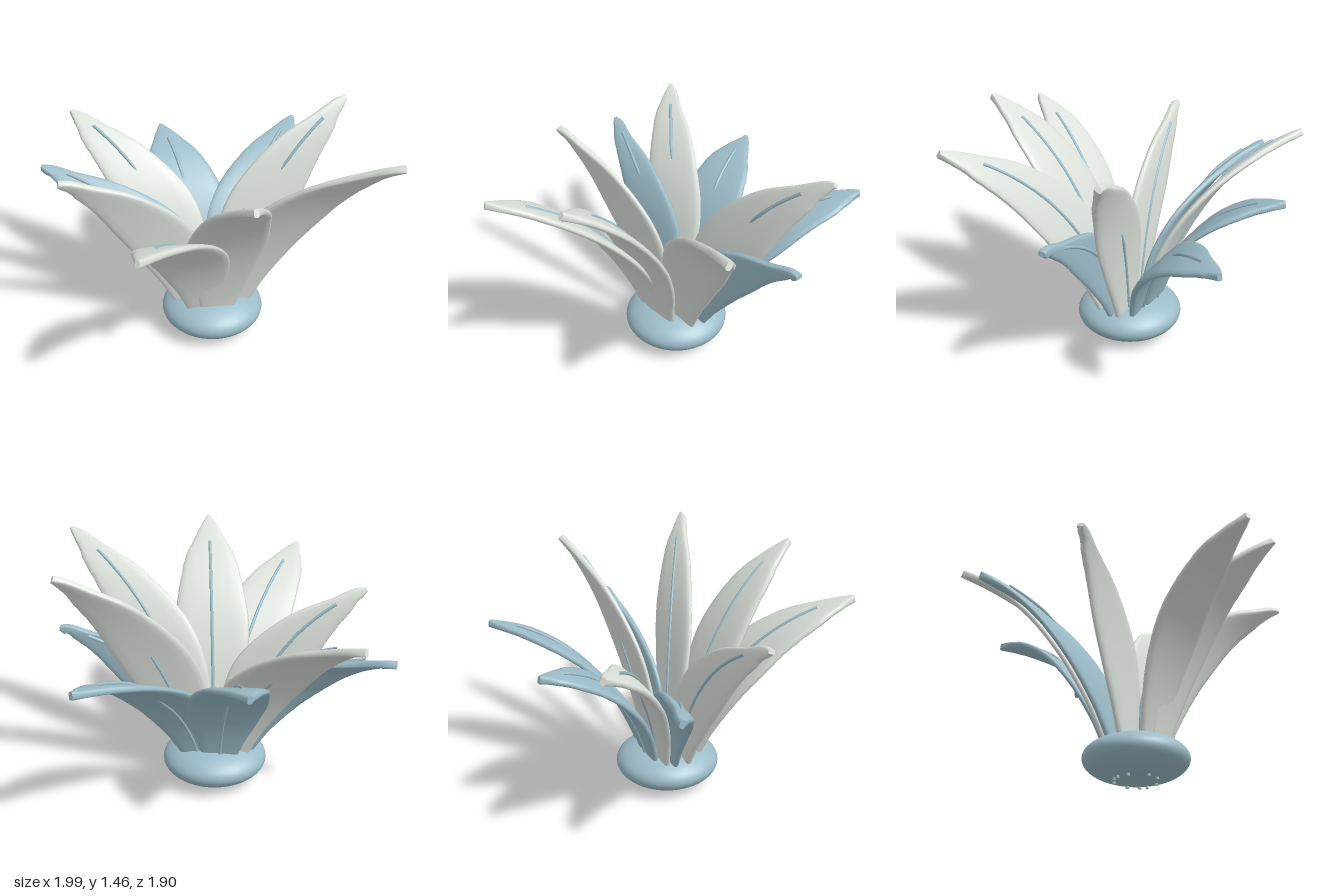
import * as THREE from 'three';

const pale = new THREE.MeshStandardMaterial({ color: 0xdce1db });
pale.name = 'paleGrey';
const blue = new THREE.MeshStandardMaterial({ color: 0x9cbcc8 });
blue.name = 'dustyBlue';

const CX = 0.035, CZ = -0.05; // centre of the bulb
const { smoothstep } = THREE.MathUtils;

// Half width of a leaf along its length
const widthTable = new THREE.SplineCurve([
  [0, 0.1], [0.15, 0.155], [0.3, 0.208], [0.5, 0.236], [0.75, 0.175], [0.88, 0.1], [0.96, 0.045], [1, 0.014],
].map(([t, w]) => new THREE.Vector2(t, w))).getPoints(140);
function leafWidth(t) {
  const i = widthTable.findIndex((p) => p.x >= t - 1e-6);
  return widthTable[i < 0 ? widthTable.length - 1 : i].y;
}

// Face direction of a leaf: square to both its path and the x axis
function faceNormal(tangent) {
  return new THREE.Vector3(0, -tangent.z, tangent.y).normalize();
}

// Sweeps a rounded slab along a path; every leaf spreads level along x
function bladeGeometry(path, halfThick = 0.023, rings = 48, sides = 16) {
  const pos = [], index = [];
  const bend = (c) => Math.sign(c) * Math.abs(c) ** 0.6;
  for (let i = 0; i <= rings; i++) {
    const t = i / rings;
    const p = path.getPointAt(t), tangent = path.getTangentAt(t);
    const n = faceNormal(tangent);
    // The tip turns square to the path so it ends blunt
    const w = new THREE.Vector3(1, 0, 0)
      .lerp(new THREE.Vector3().crossVectors(tangent, n), smoothstep(t, 0.9, 1));
    for (let j = 0; j < sides; j++) {
      const a = j / sides * Math.PI * 2;
      const v = p.clone()
        .addScaledVector(w, leafWidth(t) * bend(Math.cos(a)))
        .addScaledVector(n, halfThick * bend(Math.sin(a)));
      pos.push(v.x, v.y, v.z);
    }
  }
  for (let i = 0; i < rings; i++) {
    for (let j = 0; j < sides; j++) {
      const k = (j + 1) % sides;
      const a = i * sides + j, b = i * sides + k, c = a + sides, d = b + sides;
      index.push(a, c, b, b, c, d);
    }
  }
  // End caps with their own vertices, so their rims stay sharp
  for (const [ring, flip] of [[0, false], [rings, true]]) {
    const s = pos.length / 3;
    pos.push(...pos.slice(ring * sides * 3, (ring + 1) * sides * 3));
    for (let j = 1; j < sides - 1; j++) {
      index.push(s, s + (flip ? j + 1 : j), s + (flip ? j : j + 1));
    }
  }
  const g = new THREE.BufferGeometry();
  g.setAttribute('position', new THREE.Float32BufferAttribute(pos, 3));
  g.setIndex(index);
  g.computeVertexNormals();
  return g;
}

// Thin rod on the inner face of front leaves, crossing through the back ones
function midribGeometry(path, back) {
  const points = [], end = back ? 0.87 : 0.85;
  for (let i = 0; i <= 24; i++) {
    const t = 0.02 + (end - 0.02) * i / 24;
    const offset = back ? -0.022 + 0.05 * smoothstep(t, 0.42, 0.7) : -0.022;
    points.push(path.getPointAt(t).addScaledVector(faceNormal(path.getTangentAt(t)), offset));
  }
  return new THREE.TubeGeometry(new THREE.CatmullRomCurve3(points), 40, 0.01, 8);
}

function addMesh(parent, name, geometry, material) {
  const m = new THREE.Mesh(geometry, material);
  m.name = name;
  parent.add(m);
  return m;
}

// Leaf tips (x, y, z) and colour
const leaves = [
  [-0.195, 1.0, -0.94, blue], [0.72, 1.0, -0.94, blue],
  [0.965, 1.0, -0.05, blue], [-0.99, 1.0, -0.485, blue],
  [-0.78, 1.215, -0.81, pale], [-0.87, 1.22, 0.10, pale], [-0.48, 1.235, 0.94, pale],
  [0.91, 1.42, -0.365, pale], [0.985, 1.435, 0.56, pale], [0.12, 1.435, 0.87, pale],
];

export function createModel() {
  const root = new THREE.Group();
  root.name = 'leafyPlant';

  // Flattened bulb
  const bulb = addMesh(root, 'bulb', new THREE.SphereGeometry(1, 48, 32), blue);
  bulb.scale.set(0.325, 0.138, 0.325);
  bulb.position.set(CX, 0.142, CZ);

  for (const [x, y, z, material] of leaves) {
    const leaf = new THREE.Group();
    leaf.name = 'leaf';
    root.add(leaf);

    // Arching path from the bulb out to the tip
    const len = Math.hypot(x - CX, z - CZ);
    const dx = (x - CX) / len, dz = (z - CZ) / len;
    const at = (r, h) => new THREE.Vector3(CX + dx * r, h, CZ + dz * r);
    const rise = y < 1.1 ? 0.87 : y < 1.3 ? 0.79 : 0.74;
    const path = new THREE.QuadraticBezierCurve3(
      at(0.145, 0.2),
      at(0.145 + (len - 0.145) * 0.215, 0.2 + (y - 0.2) * rise),
      at(len, y));

    addMesh(leaf, 'blade', bladeGeometry(path), material);
    addMesh(leaf, 'midrib', midribGeometry(path, dz < -0.2), blue);

    // Root stub under the bulb
    const stub = addMesh(leaf, 'rootStub', new THREE.CylinderGeometry(0.01, 0.01, 0.05, 8), blue);
    stub.position.copy(at(0.135, 0.026));
  }
  return root;
}
